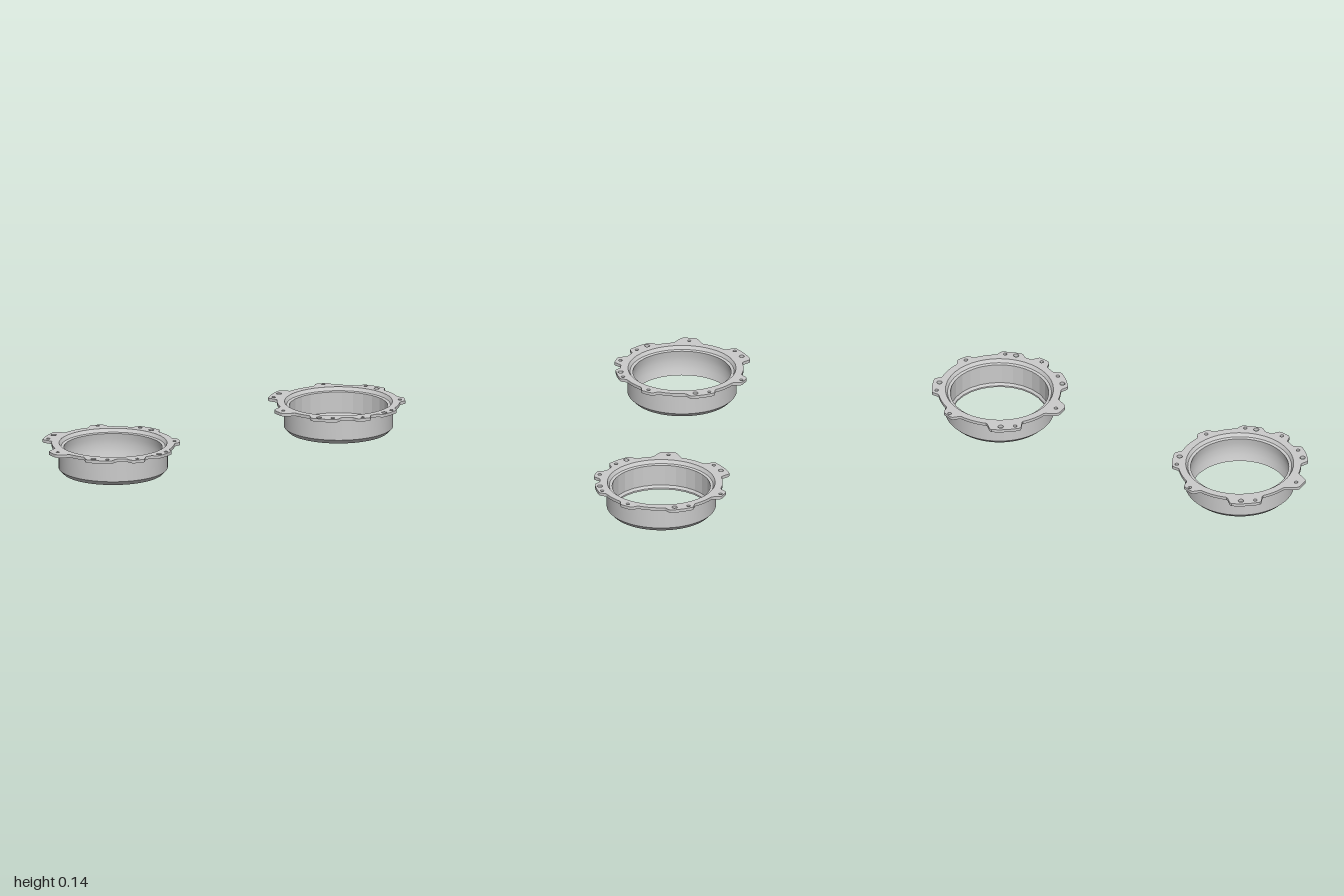
import * as THREE from 'three';
import { toCreasedNormals } from 'three/addons/utils/BufferGeometryUtils.js';

const RAD = Math.PI / 180;
const BASE_R = 0.298, BORE_R = 0.262;
const TOP = 0.145, FLANGE_Y = 0.13;

// Mounting tabs round the flange: start angle, end angle, radius, ramp (degrees, from +x towards +z)
const TABS = [
  [-32, -13, 0.328, 6],
  [23, 32, 0.324, 6],
  [64, 81, 0.323, 6],
  [98, 107, 0.335, 6],
  [127, 147, 0.333, 6],
  [177, 186, 0.352, 10],
  [225, 248, 0.347, 6],
  [286, 295, 0.334, 6],
];

// Screw holes: angle, distance from the centre, hole radius
const HOLES = [
  [-30, 0.305, 0.009], [-17, 0.297, 0.013], [28.5, 0.299, 0.009],
  [66.6, 0.303, 0.009], [77, 0.301, 0.013], [102.4, 0.312, 0.009],
  [129.7, 0.305, 0.009], [142.4, 0.309, 0.013], [182, 0.318, 0.009],
  [227.9, 0.323, 0.009], [240.4, 0.32, 0.013], [291, 0.318, 0.009],
];

const polar = (deg, r) => new THREE.Vector2(r * Math.cos(deg * RAD), -r * Math.sin(deg * RAD));

// Outline radius: the plain rim, raised to a rounded trapezoid at each tab
function rimRadius(deg) {
  let r = BASE_R;
  for (const [a, b, tabR, ramp] of TABS) {
    for (const d of [deg, deg - 360]) {
      const t = THREE.MathUtils.clamp(Math.min(d - a + ramp, b + ramp - d) / ramp, 0, 1);
      r = Math.max(r, BASE_R + (tabR - BASE_R) * THREE.MathUtils.smoothstep(t, 0, 1));
    }
  }
  return r;
}

function flangeGeometry() {
  const outline = [];
  for (let deg = 0; deg < 360; deg++) outline.push(polar(deg, rimRadius(deg)));
  const shape = new THREE.Shape(outline);
  // The outline runs clockwise, so the holes run anticlockwise
  const cut = (x, y, r) => shape.holes.push(new THREE.Path().absarc(x, y, r, 0, Math.PI * 2, false));
  cut(0, 0, BORE_R);
  for (const [deg, dist, r] of HOLES) {
    const p = polar(deg, dist);
    cut(p.x, p.y, r);
  }
  const geo = new THREE.ExtrudeGeometry(shape, { depth: TOP - FLANGE_Y, bevelEnabled: false, curveSegments: 24 });
  geo.rotateX(-Math.PI / 2).translate(0, FLANGE_Y, 0);
  return toCreasedNormals(geo, 0.5);
}

const lathe = (points, segments) =>
  new THREE.LatheGeometry(points.map(([r, y]) => new THREE.Vector2(r, y)), segments);

// Bore profiles from the lip down to the bottom edge: straight with a seat, or gently hollowed
const STRAIGHT_BORE = [[0.24, 0.125], [0.24, 0.02], [0.231, 0.008], [0.231, 0]];
const HOLLOW_BORE = [[0.238, 0.125], [0.243, 0.098], [0.245, 0.068], [0.241, 0.032], [0.231, 0]];

function createRing(faceted) {
  const ring = new THREE.Group();
  const add = (name, geometry, flatShading = false) => {
    const mesh = new THREE.Mesh(geometry, new THREE.MeshStandardMaterial({ color: 0xcccccc, flatShading }));
    mesh.name = name;
    ring.add(mesh);
  };

  add('flange', flangeGeometry());

  // Outer wall with its chamfered foot and bottom rim
  add('outerWall', toCreasedNormals(
    lathe([[0.231, 0], [0.244, 0], [0.265, 0.022], [0.265, 0.135]], 72), 0.5));

  // Sloped lip and ledge leading into the bore
  add('boreLip', toCreasedNormals(lathe([[BORE_R, TOP], [0.252, 0.128], [0.238, 0.125]], 72), 0.5));

  // Bore wall, faceted in one ring and smooth in the other
  add('boreWall', faceted ? lathe(STRAIGHT_BORE, 28) : lathe(HOLLOW_BORE, 72), faceted);
  return ring;
}

export function createModel() {
  const model = new THREE.Group();
  model.name = 'mountingRings';
  const rings = [['rightRing', -0.648, false], ['leftRing', 0.678, true]];
  for (const [name, x, faceted] of rings) {
    const ring = createRing(faceted);
    ring.name = name;
    ring.position.set(x, 0, -0.005);
    model.add(ring);
  }
  return model;
}
